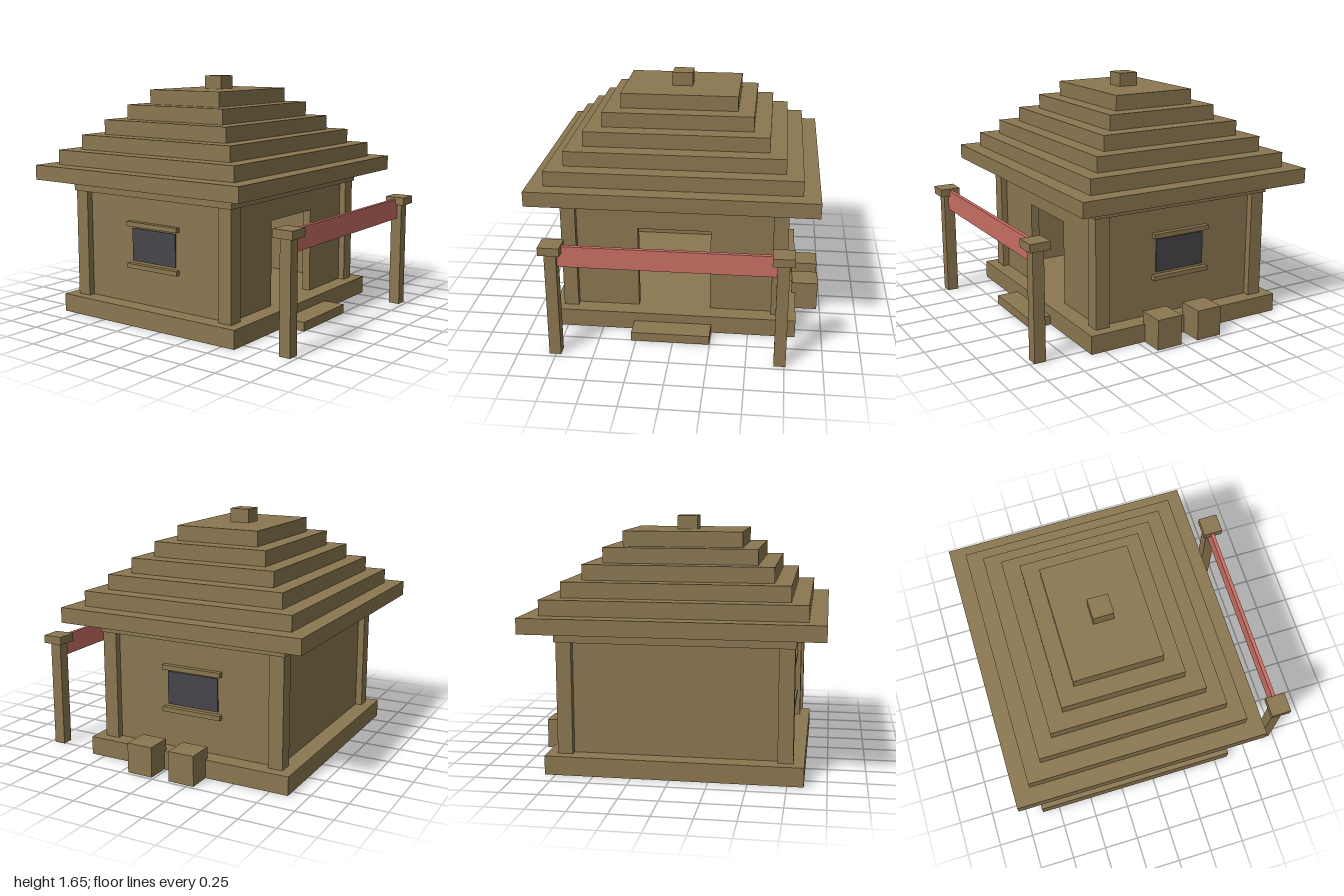
import * as THREE from 'three';

const wood = new THREE.MeshStandardMaterial({ color: 0x8b7750 });
wood.name = 'wood brown';
const cloth = new THREE.MeshStandardMaterial({ color: 0xc86e63 });
cloth.name = 'banner red';
const glass = new THREE.MeshStandardMaterial({ color: 0x45454a });
glass.name = 'window grey';

// Box given by its extents on each axis
function box(parent, name, [x0, x1], [y0, y1], [z0, z1], material = wood) {
  const mesh = new THREE.Mesh(new THREE.BoxGeometry(x1 - x0, y1 - y0, z1 - z0), material);
  mesh.position.set((x0 + x1) / 2, (y0 + y1) / 2, (z0 + z1) / 2);
  mesh.name = name;
  parent.add(mesh);
  return mesh;
}

const span = (centre, half) => [centre - half, centre + half];

export function createModel() {
  const model = new THREE.Group();
  model.name = 'hut';

  // Hut, built around its own centre
  const hut = new THREE.Group();
  hut.name = 'house';
  hut.position.set(-0.017, 0, -0.139);
  model.add(hut);

  const floorY = 0.125, wallTop = 0.865;
  const wallY = [floorY, wallTop];
  const outX = 0.722, outZ = 0.62, thick = 0.06;
  box(hut, 'foundation', span(0, 0.838), [0, floorY], span(0, 0.738));
  box(hut, 'frontStep', span(0, 0.265), [0, 0.062], [0.738, 0.893]);

  // Corner posts
  for (const sx of [-1, 1]) for (const sz of [-1, 1]) {
    box(hut, 'cornerPost', span(sx * 0.718, 0.05), wallY, span(sz * 0.616, 0.05));
  }

  // Back wall, and front wall with a door opening
  box(hut, 'backWall', span(0, outX - thick), wallY, [-outZ, thick - outZ]);
  const front = new THREE.Shape();
  const w = outX - thick, door = 0.248, doorTop = 0.71;
  [[-w, floorY], [-door, floorY], [-door, doorTop], [door, doorTop], [door, floorY],
    [w, floorY], [w, wallTop], [-w, wallTop]]
    .forEach(([x, y], i) => (i ? front.lineTo(x, y) : front.moveTo(x, y)));
  front.closePath();
  const frontWall = new THREE.Mesh(
    new THREE.ExtrudeGeometry(front, { depth: thick, bevelEnabled: false }), wood);
  frontWall.position.z = outZ - thick;
  frontWall.name = 'frontWall';
  hut.add(frontWall);

  // Side walls with window panes, sills and lintels
  for (const s of [-1, 1]) {
    const side = s > 0 ? 'left' : 'right';
    const offset = (a, b) => (s > 0 ? [a, b] : [-b, -a]);
    box(hut, side + 'Wall', offset(outX - thick, outX), wallY, span(0, outZ));
    box(hut, side + 'WindowPane', offset(outX, outX + 0.008), [0.42, 0.645], span(0, 0.186), glass);
    box(hut, side + 'WindowSill', offset(outX, outX + 0.035), [0.372, 0.403], span(0, 0.215));
    box(hut, side + 'WindowLintel', offset(outX, outX + 0.035), [0.66, 0.692], span(0, 0.215));
  }

  // Stepped roof on a top beam
  box(hut, 'topBeam', span(0, 0.778), [wallTop, 0.945], span(0, 0.677));
  const tierHeight = 0.1025;
  for (let i = 0; i < 6; i++) {
    const y = 0.945 + i * tierHeight;
    box(hut, 'roofTier', span(0, 0.9625 - i * 0.1125), [y, y + tierHeight], span(0, 0.861 - i * 0.1125));
  }
  box(hut, 'roofCap', span(0, 0.07), [1.56, 1.653], span(0, 0.07));

  // Crates beside the left wall
  box(model, 'crate', [0.795, 0.978], [0, 0.205], [0.018, 0.2]);
  box(model, 'crate', [0.795, 0.978], [0, 0.205], [-0.293, -0.11]);

  // Gate posts with caps and a banner between them
  const gate = new THREE.Group();
  gate.name = 'gate';
  gate.position.set(-0.017, 0, 0.93);
  model.add(gate);
  for (const s of [-1, 1]) {
    box(gate, 'gatePost', span(s * 0.738, 0.039), [0, 0.735], span(0, 0.039));
    box(gate, 'gatePostCap', span(s * 0.738, 0.07), [0.735, 0.79], span(0, 0.07));
  }
  box(gate, 'banner', span(0, 0.7), [0.632, 0.775], span(-0.006, 0.013), cloth);

  return model;
}
